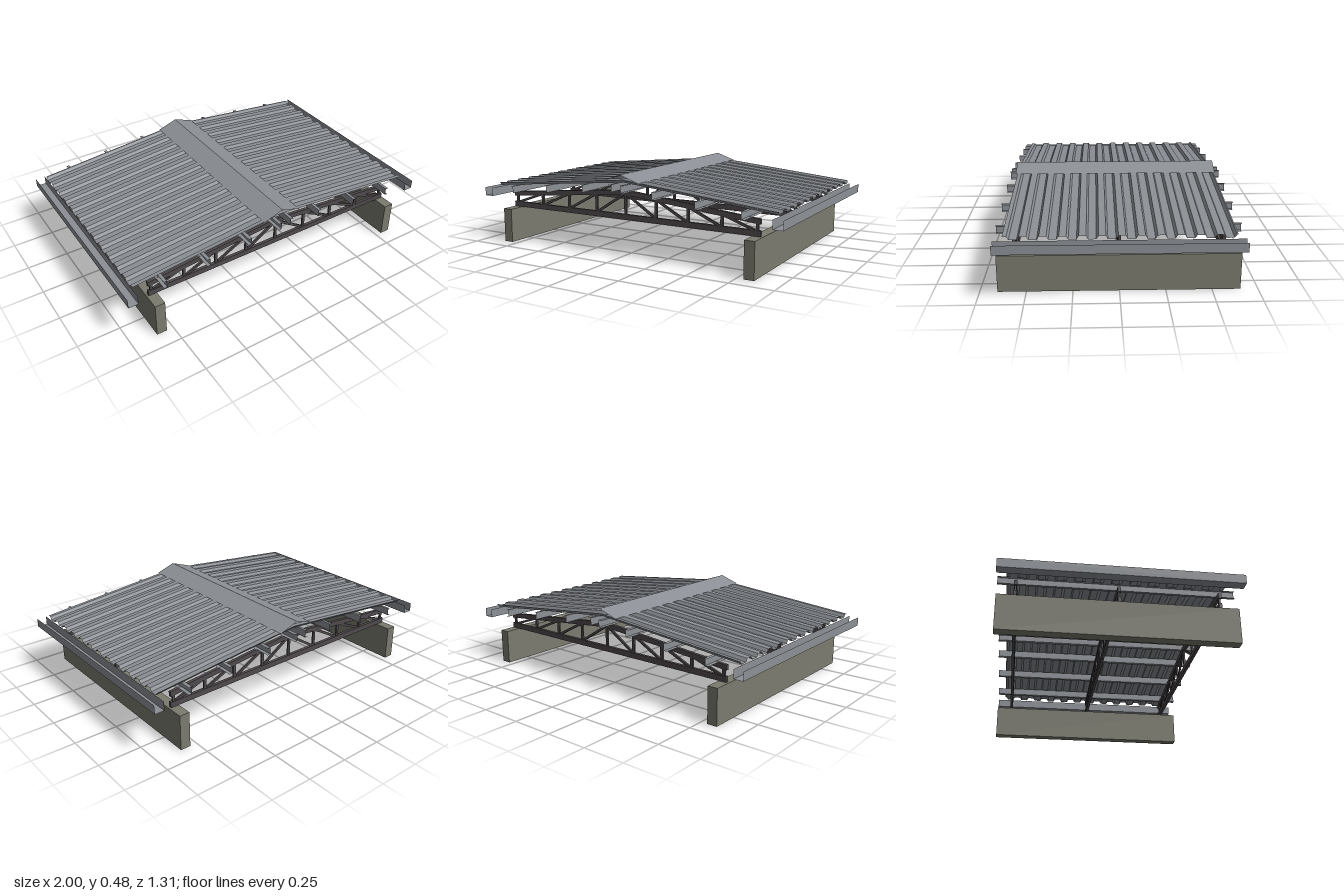
import * as THREE from 'three';

const sheetMetal = new THREE.MeshStandardMaterial({ color: 0x8c9096, side: THREE.DoubleSide });
sheetMetal.name = 'grey sheet metal';
const steel = new THREE.MeshStandardMaterial({ color: 0x504a4d });
steel.name = 'dark truss steel';
const concrete = new THREE.MeshStandardMaterial({ color: 0x7b7b6f });
concrete.name = 'olive concrete';

const V = (x, y, z) => new THREE.Vector3(x, y, z);

// Thin folded sheet spanning two matching polylines, with sharp folds
function sheet(name, a, b) {
  const p = [];
  for (let i = 0; i < a.length - 1; i++) {
    for (const v of [a[i], b[i], b[i + 1], a[i], b[i + 1], a[i + 1]]) p.push(v.x, v.y, v.z);
  }
  const g = new THREE.BufferGeometry();
  g.setAttribute('position', new THREE.Float32BufferAttribute(p, 3));
  g.computeVertexNormals();
  const m = new THREE.Mesh(g, sheetMetal);
  m.name = name;
  return m;
}

// Folded sheet with an x,y profile running along z; wound to face up
function zSheet(name, profile, z0, z1) {
  return sheet(name, profile.map(([x, y]) => V(x, y, z1)), profile.map(([x, y]) => V(x, y, z0)))
}

function box(name, w, h, d, x, y, z, material) {
  const m = new THREE.Mesh(new THREE.BoxGeometry(w, h, d), material);
  m.position.set(x, y, z);
  m.name = name;
  return m;
}

// Straight bar between two points in the truss plane
function bar(name, x0, y0, x1, y1, thick, depth) {
  const m = box(name, Math.hypot(x1 - x0, y1 - y0), thick, depth, (x0 + x1) / 2, (y0 + y1) / 2, 0, steel);
  m.rotation.z = Math.atan2(y1 - y0, x1 - x0);
  return m;
}

const chordTop = (x) => 0.385 - 0.096 * Math.abs(x);
const valleyY = (x) => 0.428 - 0.096 * Math.abs(x);

function createTruss() {
  const truss = new THREE.Group();
  truss.name = 'truss';
  truss.add(box('bottomChord', 1.68, 0.032, 0.018, 0, 0.226, 0, steel));

  // Peaked top chord cut from one outline
  const s = new THREE.Shape();
  s.moveTo(-0.84, chordTop(0.84));
  s.lineTo(-0.84, chordTop(0.84) - 0.029);
  s.lineTo(0, chordTop(0) - 0.029);
  s.lineTo(0.84, chordTop(0.84) - 0.029);
  s.lineTo(0.84, chordTop(0.84));
  s.lineTo(0, chordTop(0));
  const g = new THREE.ExtrudeGeometry(s, { depth: 0.018, bevelEnabled: false });
  g.translate(0, 0, -0.009);
  const top = new THREE.Mesh(g, steel);
  top.name = 'topChord';
  truss.add(top);

  // Posts and diagonals, each diagonal rising toward the centre
  const nodes = [0, 0.205, 0.41, 0.615, 0.82];
  truss.add(bar('centrePost', 0, 0.23, 0, chordTop(0) - 0.015, 0.016, 0.011));
  for (const side of [-1, 1]) {
    for (let i = 1; i < nodes.length; i++) {
      const x = side * nodes[i], inner = side * nodes[i - 1];
      truss.add(bar('post', x, 0.23, x, chordTop(x) - 0.015, 0.016, 0.011));
      truss.add(bar('diagonal', x, 0.235, inner, chordTop(inner) - 0.02, 0.014, 0.011));
    }
  }
  return truss;
}

// Trapezoidal ribbed sheet on one slope
function createRoofSheet(side) {
  const rib = 0.018, pitch = 0.1015;
  const profile = [[-0.607, rib]];
  for (let k = 0; k < 12; k++) {
    const z = -0.594 + k * pitch;
    profile.push([z - 0.006, rib], [z + 0.006, 0], [z + 0.048, 0], [z + 0.058, rib]);
  }
  profile.push([0.603, rib]);
  const edge = (x) => profile.map(([z, h]) => V(x, valleyY(x) + h, z));
  const ends = side > 0 ? [edge(0), edge(0.945)] : [edge(-0.945), edge(0)];
  // Reversed point order keeps the front faces upward
  return sheet('roofSheet', ends[0].reverse(), ends[1].reverse());
}

export function createModel() {
  const model = new THREE.Group();
  model.name = 'gableRoof';

  for (const z of [-0.555, 0, 0.555]) {
    const truss = createTruss();
    truss.position.z = z;
    model.add(truss);
  }

  for (const side of [-1, 1]) {
    model.add(box('supportWall', 0.06, 0.208, 1.31, side * 0.82, 0.104, 0, concrete));
    model.add(createRoofSheet(side));

    // Channel purlins between trusses and roof sheet
    for (const x of [0.041, 0.245, 0.513, 0.78]) {
      const a = x - 0.0095, b = x + 0.0095;
      const profile = [[b, chordTop(b)], [a, chordTop(a)], [a, valleyY(a)], [b, valleyY(b)]];
      model.add(zSheet('purlin', profile.map(([px, y]) => [side * px, y]), -0.655, 0.655));
    }

    // Open box gutter under the eave
    const gutter = [[0.942, 0.33], [0.942, 0.278], [1, 0.278], [1, 0.33]];
    model.add(zSheet('gutter', gutter.map(([x, y]) => [side * x, y]), -0.655, 0.655));
  }

  // Folded ridge cap
  model.add(zSheet('ridgeCap', [[-0.122, 0.436], [0, 0.478], [0.122, 0.436]], -0.615, 0.613));
  return model;
}
